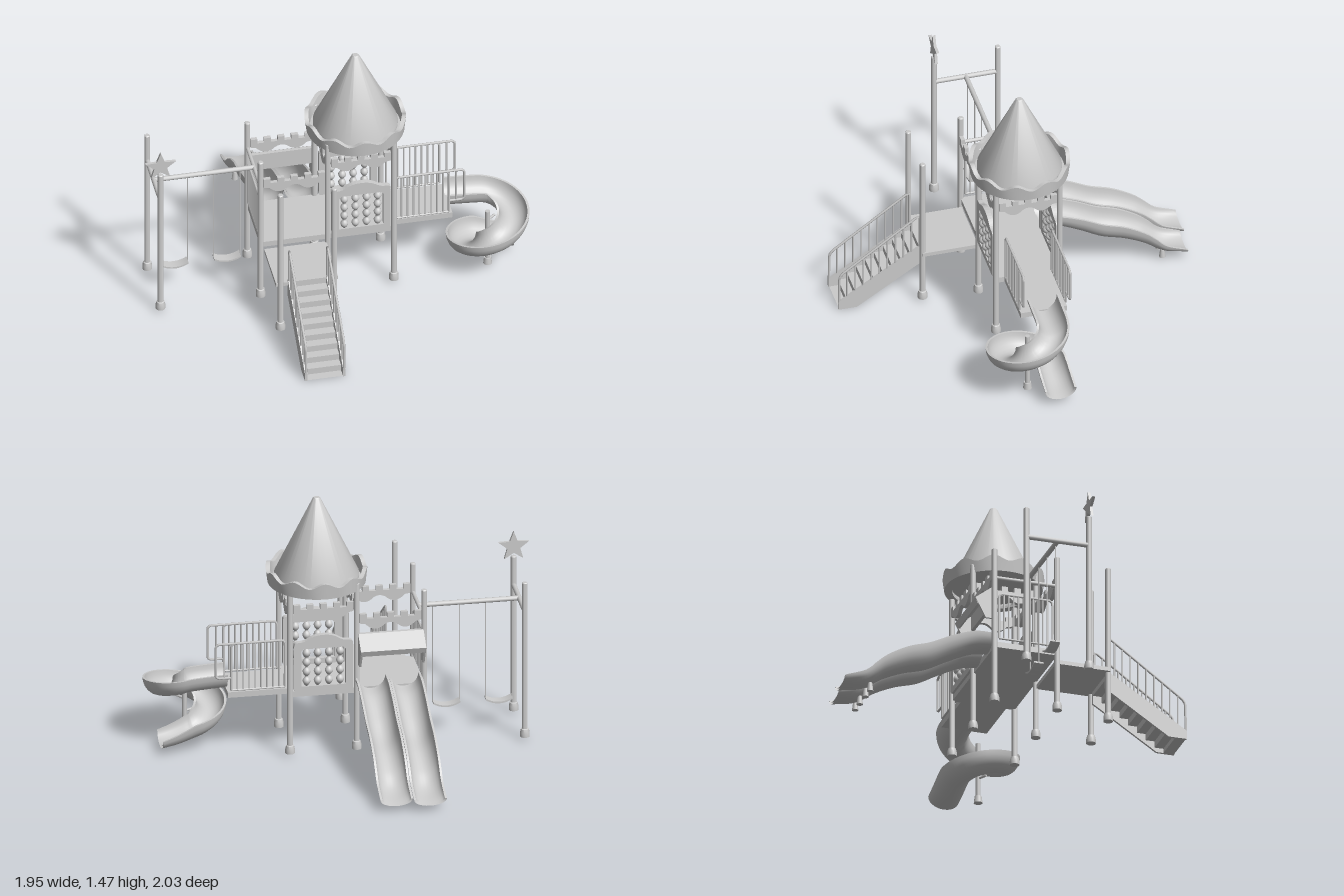
import * as THREE from 'three';
import { toCreasedNormals } from 'three/addons/utils/BufferGeometryUtils.js';

const mat = new THREE.MeshStandardMaterial({ color: 0xcccccc, roughness: 0.8, side: THREE.DoubleSide });
const V = (x, y, z) => new THREE.Vector3(x, y, z);
const UP = V(0, 1, 0);

function add(parent, name, geo, x = 0, y = 0, z = 0, ry = 0) {
  const m = new THREE.Mesh(geo, mat);
  m.name = name;
  m.position.set(x, y, z);
  m.rotation.y = ry;
  parent.add(m);
  return m;
}
function group(parent, name, x = 0, y = 0, z = 0, ry = 0) {
  const g = new THREE.Group();
  g.name = name;
  g.position.set(x, y, z);
  g.rotation.y = ry;
  parent.add(g);
  return g;
}
// Straight round bar between two points
function bar(parent, name, p, q, r, sides = 8) {
  const d = q.clone().sub(p);
  const m = add(parent, name, new THREE.CylinderGeometry(r, r, d.length(), sides));
  m.position.copy(p).addScaledVector(d, 0.5);
  m.quaternion.setFromUnitVectors(UP, d.normalize());
}
// Bar bent through points, corners slightly rounded
function bentBar(parent, name, pts, r) {
  const path = new THREE.CatmullRomCurve3(pts, false, 'catmullrom', 0.1);
  add(parent, name, new THREE.TubeGeometry(path, pts.length * 8, r, 6));
}
const box = (parent, name, x0, x1, y0, y1, z0, z1) =>
  add(parent, name, new THREE.BoxGeometry(x1 - x0, y1 - y0, z1 - z0), (x0 + x1) / 2, (y0 + y1) / 2, (z0 + z1) / 2);
// Flat profile with thickness, centred on its plane
function plate(shape, t) {
  const g = new THREE.ExtrudeGeometry(shape, { depth: t, bevelEnabled: false, curveSegments: 8 });
  return g.translate(0, 0, -t / 2);
}
const poly = (pts) => new THREE.Shape(pts.map(([x, y]) => new THREE.Vector2(x, y)));

// Post with a wider foot and a small cap
function post(parent, x, z, top) {
  const pts = [[0, 0.02], [0.027, 0.02], [0.027, 0.045], [0.022, 0.065], [0.016, 0.068], [0.016, top - 0.005], [0.012, top], [0, top]];
  const g = new THREE.LatheGeometry(pts.map(([a, b]) => new THREE.Vector2(a, b)), 16);
  add(parent, 'post', toCreasedNormals(g, 0.6), x, 0, z);
}
// Picket fence from p to q (floor points)
function railing(parent, name, p, q, y0, y1, n) {
  const g = group(parent, name);
  const at = (t, y) => p.clone().lerp(q, t).setY(y);
  bentBar(g, 'railFrame', [at(0, y0), at(0, y1 - 0.02), at(0.05, y1), at(0.95, y1), at(1, y1 - 0.02), at(1, y0)], 0.007);
  bar(g, 'lowerRail', at(0, y0), at(1, y0), 0.006);
  for (let i = 1; i < n; i++) bar(g, 'picket', at(i / n, y0), at(i / n, y1), 0.005, 6);
}
// Battlement board: teeth on top, scalloped below
function battlement(parent, x, y, z, ry, w) {
  const s = new THREE.Shape();
  const h = w / 2, n = 9, step = w / n;
  s.moveTo(-h, 0.035);
  s.lineTo(-h + 0.03, 0.03);
  s.quadraticCurveTo(-h * 0.5, -0.03, -h * 0.2, 0.022);
  s.quadraticCurveTo(0, 0.045, h * 0.2, 0.022);
  s.quadraticCurveTo(h * 0.5, -0.03, h - 0.03, 0.03);
  s.lineTo(h, 0.035);
  for (let i = 0; i < n; i++) {
    const top = i % 2 ? 0.062 : 0.09;
    s.lineTo(h - i * step, top);
    s.lineTo(h - (i + 1) * step, top);
  }
  add(parent, 'battlement', plate(s, 0.022), x, y, z, ry);
}
// Play panel: humped frame around columns of spinning beads
function beadPanel(parent, x, z, w) {
  const g = group(parent, 'beadPanel', x, 0.385, z, Math.PI / 2);
  const h = w / 2, s = new THREE.Shape();
  s.moveTo(-h + 0.02, 0);
  s.lineTo(h - 0.02, 0);
  s.quadraticCurveTo(h, 0, h, 0.02);
  s.lineTo(h, 0.28);
  s.quadraticCurveTo(h, 0.3, h - 0.03, 0.3);
  s.bezierCurveTo(h * 0.5, 0.3, h * 0.5, 0.34, 0, 0.34);
  s.bezierCurveTo(-h * 0.5, 0.34, -h * 0.5, 0.3, -h + 0.03, 0.3);
  s.quadraticCurveTo(-h, 0.3, -h, 0.28);
  s.lineTo(-h, 0.02);
  s.quadraticCurveTo(-h, 0, -h + 0.02, 0);
  const k = h - 0.04;
  s.holes.push(poly([[-k, 0.035], [-k, 0.245], [-k + 0.015, 0.26], [k - 0.015, 0.26], [k, 0.245], [k, 0.035]]));
  add(g, 'panelFrame', plate(s, 0.028));
  const prof = [];
  for (let i = 0; i <= 40; i++) prof.push(new THREE.Vector2(0.006 + 0.016 * Math.abs(Math.sin((i / 40) * Math.PI * 4)), 0.035 + (i / 40) * 0.225));
  for (let c = 0; c < 4; c++) add(g, 'beadColumn', new THREE.LatheGeometry(prof, 10), (c - 1.5) * k * 0.5, 0, 0);
}
// Trough swept along a path: a U section with wall thickness
function chute(parent, name, pts, half, depthAt, segs) {
  const path = new THREE.CatmullRomCurve3(pts, false, 'centripetal');
  const pos = [], idx = [], K = 12, ring = 2 * (K + 1);
  for (let i = 0; i <= segs; i++) {
    const t = i / segs, p = path.getPointAt(t), d = path.getTangentAt(t);
    const side = V(-d.z, 0, d.x).normalize(), depth = depthAt(t);
    for (let j = 0; j < ring; j++) {
      const inner = j > K, f = ((inner ? ring - 1 - j : j) / K - 0.5) * Math.PI;
      const w = half - (inner ? 0.012 : 0), lift = inner ? 0.012 : 0;
      const c = p.clone().addScaledVector(side, w * Math.sin(f));
      c.y += lift + (depth - lift) * (1 - Math.cos(f));
      pos.push(c.x, c.y, c.z);
    }
  }
  for (let i = 0; i < segs; i++) for (let j = 0; j < ring; j++) {
    const a = i * ring + j, b = i * ring + (j + 1) % ring;
    idx.push(a, b, a + ring, b, b + ring, a + ring);
  }
  const g = new THREE.BufferGeometry();
  g.setAttribute('position', new THREE.Float32BufferAttribute(pos, 3));
  g.setIndex(idx);
  add(parent, name, toCreasedNormals(g, 0.9));
}

export function createModel() {
  const root = new THREE.Group();
  root.name = 'playground';
  // Everything is laid out square around the tower, then turned
  const s = group(root, 'structure', 0.206, 0, -0.19, -24.2 * Math.PI / 180);
  const A = 0.182, B0 = -0.18, B1 = 0.193, B2 = 0.571, Q = Math.PI / 2;

  // Posts
  for (const x of [-A, A]) {
    post(s, x, B0, 1.02);
    post(s, x, B1, 1.02);
    post(s, x, B2, 0.95);
    post(s, x, 1.135, 0.95);
  }
  post(s, 0.494, 0.523, 0.95);
  post(s, 0.494, 0.22, 0.95);

  // Decks
  box(s, 'towerDeck', -A, A, 0.355, 0.388, B0, B1);
  box(s, 'frontDeck', -A, A, 0.355, 0.388, B1, B2);
  box(s, 'backWalkway', -0.132, 0.132, 0.355, 0.388, -0.52, B0);
  box(s, 'stairLanding', A, 0.5, 0.315, 0.338, 0.2, 0.55);

  // Tower roof: cone inside a wavy flared band
  const cone = [[0, 1.0], [0.235, 1.0], [0.235, 1.02], [0.022, 1.465], [0.016, 1.472], [0, 1.472]];
  add(s, 'roofCone', toCreasedNormals(new THREE.LatheGeometry(cone.map(([r, y]) => new THREE.Vector2(r, y)), 40), 0.5));
  const band = [[0.228, 0.972], [0.272, 0.972], [0.281, 1.05], [0.258, 1.05], [0.25, 0.985], [0.228, 0.985], [0.228, 0.972]];
  const bandGeo = new THREE.LatheGeometry(band.map(([r, y]) => new THREE.Vector2(r, y)), 96);
  const bp = bandGeo.attributes.position;
  for (let i = 0; i < bp.count; i++) if (bp.getY(i) > 1.0) {
    bp.setY(i, bp.getY(i) + 0.016 * Math.cos(10 * Math.atan2(bp.getZ(i), bp.getX(i))));
  }
  add(s, 'roofBand', toCreasedNormals(bandGeo, 0.6));

  // Battlements and bead panels
  const mid = (B1 + B2) / 2;
  for (const x of [-A, A]) {
    battlement(s, x, 0.82, 0.006, Q, 0.335);
    battlement(s, x, 0.74, mid, Q, 0.345);
    beadPanel(s, x, 0.006, 0.33);
  }
  for (const z of [B0, B1]) battlement(s, 0, 0.82, z, 0, 0.33);

  // Fences
  railing(s, 'frontFence', V(-0.155, 0, B2), V(0.155, 0, B2), 0.41, 0.68, 11);
  for (const x of [-0.132, 0.132]) {
    const g = group(s, 'walkwayFence');
    railing(g, 'fence', V(x, 0, -0.2), V(x, 0, -0.5), 0.4, 0.68, 9);
    bentBar(g, 'endLoop', [V(x, 0.68, -0.49), V(x, 0.68, -0.57), V(x, 0.665, -0.587), V(x, 0.49, -0.587), V(x, 0.475, -0.57), V(x, 0.475, -0.5)], 0.007);
    bar(g, 'picket', V(x, 0.475, -0.54), V(x, 0.68, -0.54), 0.005, 6);
  }

  // Stairs: folded steps, side stringers and sloping handrails
  const st = group(s, 'stairs');
  const N = 9, run = 0.46 / N, rise = 0.338 / N, up = [], low = [];
  for (let i = 0; i < N; i++) {
    const x = 0.5 + i * run, y = 0.338 - (i + 1) * rise;
    up.push([x, y + rise], [x, y]);
    low.unshift([x - 0.01, y + rise - 0.012], [x - 0.01, Math.max(y - 0.012, 0)]);
    low.splice(0, 2, low[1], low[0]);
  }
  up.push([0.96, 0]);
  add(st, 'steps', plate(poly([...up, ...low]), 0.21), 0, 0, 0.367);
  for (const z of [0.26, 0.475]) {
    const line = (x) => 0.36 - (x - 0.5) * 0.68;
    add(st, 'stringer', plate(poly([[0.49, 0.35], [0.5, 0.35], [0.965, 0.05], [0.965, 0], [0.86, 0], [0.49, 0.24]]), 0.014), 0, 0, z);
    bentBar(st, 'handrail', [V(0.5, 0.33, z), V(0.5, 0.54, z), V(0.515, 0.55, z), V(0.935, 0.245, z), V(0.958, 0.21, z), V(0.96, 0.04, z)], 0.007);
    for (let i = 1; i <= 9; i++) {
      const x = 0.5 + i * 0.046;
      bar(st, 'baluster', V(x, line(x) - 0.03, z), V(x, 0.56 - (x - 0.5) * 0.726, z), 0.005, 6);
    }
  }

  // Double slide with entry hood
  const ds = group(s, 'doubleSlide');
  const bed = [[-0.18, 0.365], [-0.27, 0.35], [-0.41, 0.285], [-0.54, 0.215], [-0.67, 0.175], [-0.79, 0.12], [-0.89, 0.055], [-1.03, 0.03]];
  [0.274, 0.458].forEach((z, i) => {
    const pts = bed.map(([x, y]) => V(x * (i ? 1.01 : 0.985), y, z));
    chute(ds, 'slideChute', pts, 0.092, (t) => 0.085 + 0.04 * Math.sin(Math.PI * Math.min(1, t * 1.15)) - 0.045 * Math.max(0, t - 0.8) * 5, 60);
    for (const dz of [-0.04, 0.04]) add(ds, 'slideFoot', new THREE.CylinderGeometry(0.012, 0.018, 0.05, 10), -0.88, 0.04, z + dz);
  });
  const hood = group(s, 'slideHood');
  add(hood, 'hoodCover', plate(poly([[-0.18, 0.715], [-0.2, 0.715], [-0.29, 0.645], [-0.275, 0.61], [-0.262, 0.615], [-0.27, 0.64], [-0.2, 0.695], [-0.2, 0.61], [-0.18, 0.61]]), 0.36), 0, 0, mid);
  for (const z of [0.205, 0.559]) add(hood, 'hoodCheek', plate(poly([[-0.18, 0.715], [-0.2, 0.715], [-0.29, 0.645], [-0.23, 0.53], [-0.18, 0.53]]), 0.012), 0, 0, z);

  // Spiral slide around its own pole
  const sp = group(s, 'spiralSlide');
  const cx = 0.146, cz = -0.715, R = 0.142, pts = [V(0.002, 0.368, -0.51), V(0.003, 0.362, -0.61)];
  for (let i = 0; i <= 24; i++) {
    const f = (i / 24) * Math.PI * 2;
    pts.push(V(cx - R * Math.cos(f), 0.352 - 0.285 * (i / 24), cz - R * Math.sin(f)));
  }
  pts.push(V(0.0, 0.045, -0.79), V(-0.002, 0.03, -0.875));
  chute(sp, 'spiralChute', pts, 0.09, (t) => 0.105 - 0.04 * Math.max(0, t - 0.85) / 0.15, 120);
  add(sp, 'spiralPole', new THREE.CylinderGeometry(0.014, 0.014, 0.36, 12), cx, 0.2, cz);
  add(sp, 'poleFoot', new THREE.CylinderGeometry(0.02, 0.025, 0.04, 12), cx, 0.04, cz);
  for (const f of [0.9, 2.5, 4.2]) {
    const y = 0.36 - 0.285 * f / (Math.PI * 2);
    bar(sp, 'chuteBracket', V(cx, y, cz), V(cx - 0.06 * Math.cos(f), y, cz - 0.06 * Math.sin(f)), 0.007);
  }

  // Swing frame, seats and star
  const sw = group(s, 'swings');
  bar(sw, 'crossBeam', V(-A, 0.775, 1.135), V(A, 0.775, 1.135), 0.014, 12);
  bar(sw, 'swingBeam', V(0, 0.775, 1.135), V(0, 0.775, B2), 0.014, 12);
  bar(sw, 'deckBeam', V(-A, 0.775, B2), V(A, 0.775, B2), 0.011, 12);
  for (const z of [1.02, 0.725]) {
    for (const d of [-0.075, 0.075]) bar(sw, 'chain', V(0, 0.775, z + d), V(0, 0.185, z + d), 0.003, 6);
    const seat = new THREE.BoxGeometry(0.055, 0.01, 0.15, 1, 1, 12), q = seat.attributes.position;
    for (let i = 0; i < q.count; i++) q.setY(i, q.getY(i) + 0.022 * (q.getZ(i) / 0.075) ** 2);
    add(sw, 'swingSeat', toCreasedNormals(seat, 0.6), 0, 0.163, z);
  }
  const star = [];
  for (let i = 0; i < 10; i++) {
    const r = i % 2 ? 0.038 : 0.09, f = Q + i * Math.PI / 5;
    star.push([r * Math.cos(f), r * Math.sin(f)]);
  }
  add(sw, 'star', plate(poly(star), 0.016), A, 1.008, 1.135, Q);
  return root;
}
